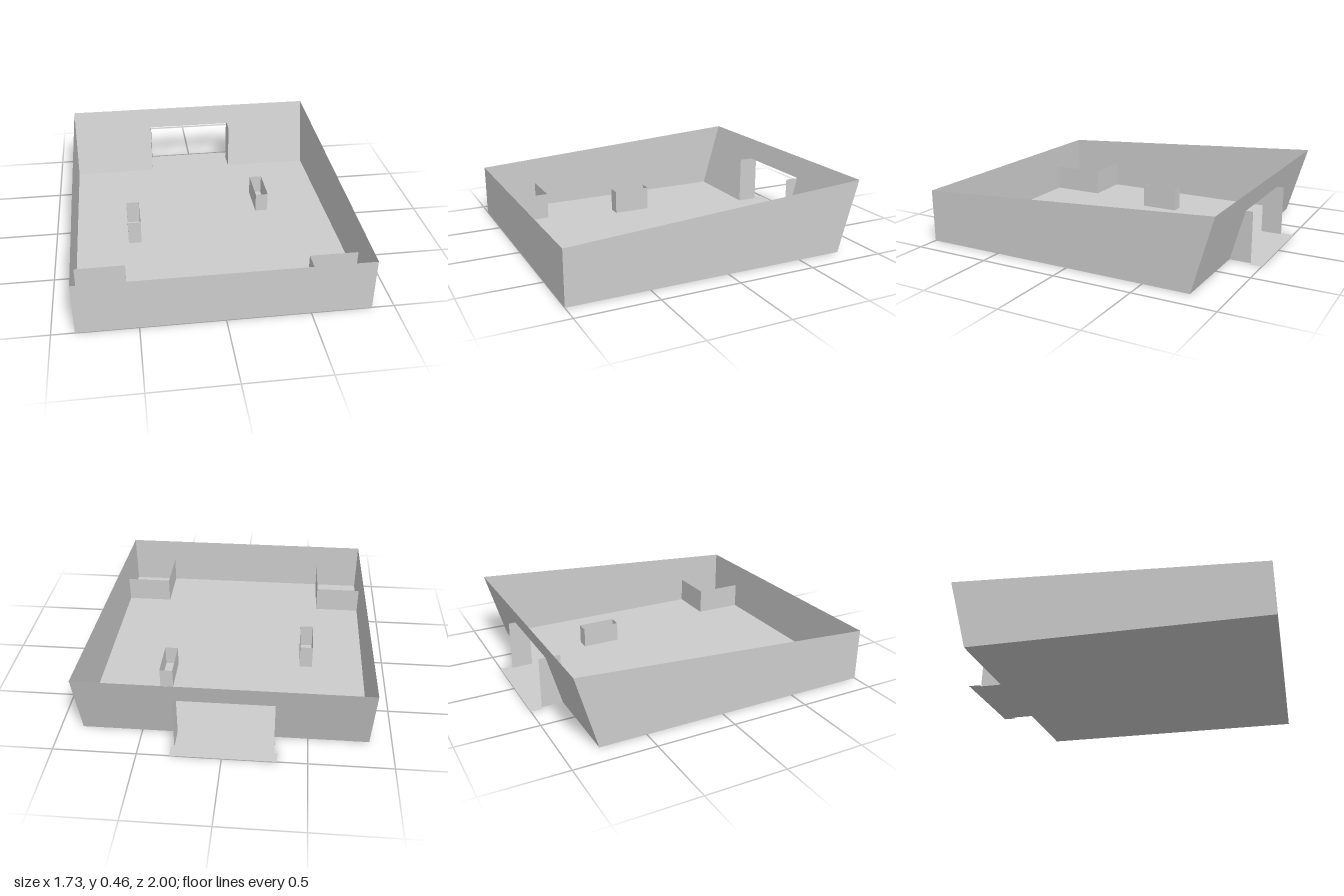
import * as THREE from 'three';

const W = 0.865, FRONT = 1, BACK = -0.79, FRONT_H = 0.335, BACK_H = 0.455, LEAN = 0.13;
const DOOR_R = -0.302, DOOR_L = 0.286, DOOR_H = 0.32, SILL = -0.925;

export function createModel() {
  const model = new THREE.Group();
  model.name = 'openTray';
  const grey = new THREE.MeshStandardMaterial({ color: 0xcccccc, side: THREE.DoubleSide });
  grey.name = 'light grey';

  const sheet = pts => new THREE.ShapeGeometry(new THREE.Shape(pts.map(p => new THREE.Vector2(...p))));
  const add = (name, geometry, parent = model) => {
    const mesh = new THREE.Mesh(geometry, grey);
    mesh.name = name;
    parent.add(mesh);
    return mesh;
  };
  // Sheet lying flat, points given as [x, z]
  const flat = pts => sheet(pts.map(([x, z]) => [x, -z])).rotateX(-Math.PI / 2);
  // Sheet standing at constant x, points given as [z, y]
  const upright = (x, pts) => sheet(pts).rotateY(-Math.PI / 2).translate(x, 0, 0);
  // Rectangular wall standing along x or along z
  const wallX = (x0, x1, z, h) => sheet([[x0, 0], [x1, 0], [x1, h], [x0, h]]).translate(0, 0, z);
  const wallZ = (x, z0, z1, h) => upright(x, [[z0, 0], [z1, 0], [z1, h], [z0, h]]);

  // Floor with a doorway tongue that widens into a sill
  add('floor', flat([
    [-W, FRONT], [W, FRONT], [W, BACK], [DOOR_L, BACK], [DOOR_L, SILL],
    [0.307, SILL], [0.307, -1], [-0.323, -1], [-0.323, SILL],
    [DOOR_R, SILL], [DOOR_R, BACK], [-W, BACK],
  ]));

  // Outer walls
  add('frontWall', wallX(-W, W, FRONT, FRONT_H));
  for (const [name, x] of [['leftWall', W], ['rightWall', -W]]) {
    add(name, upright(x, [[FRONT, 0], [FRONT, FRONT_H], [BACK - LEAN, BACK_H], [BACK, 0]]));
  }

  // Outward-leaning back wall with a doorway
  const slant = Math.hypot(BACK_H, LEAN) / BACK_H;
  const backWall = sheet([
    [-W, 0], [DOOR_R, 0], [DOOR_R, DOOR_H * slant], [DOOR_L, DOOR_H * slant],
    [DOOR_L, 0], [W, 0], [W, BACK_H * slant], [-W, BACK_H * slant],
  ]);
  backWall.rotateX(-Math.atan2(LEAN, BACK_H)).translate(0, 0, BACK);
  add('backWall', backWall);

  // Door jambs
  add('leftJamb', wallZ(DOOR_L, SILL, BACK, DOOR_H));
  add('rightJamb', wallZ(DOOR_R, SILL, BACK, DOOR_H));

  // Hollow, open-topped posts: centre x, centre z, height
  for (const [name, x, z, h] of [['leftPost', 0.42, -0.243, 0.13], ['rightPost', -0.484, 0.042, 0.158]]) {
    const post = new THREE.Group();
    post.name = name;
    for (const s of [-1, 1]) {
      add('postEnd', wallX(x - 0.042, x + 0.042, z + s * 0.125, h), post);
      add('postSide', wallZ(x + s * 0.042, z - 0.125, z + 0.125, h), post);
    }
    model.add(post);
  }

  // Low partitions closing off the two front corners
  for (const [name, s, z, h] of [['leftCorner', 1, 0.68, 0.17], ['rightCorner', -1, 0.64, 0.175]]) {
    const corner = new THREE.Group();
    corner.name = name;
    add('partitionBack', wallX(s * 0.56, s * W, z, h), corner);
    add('partitionSide', wallZ(s * 0.56, z, FRONT, h), corner);
    model.add(corner);
  }
  return model;
}
